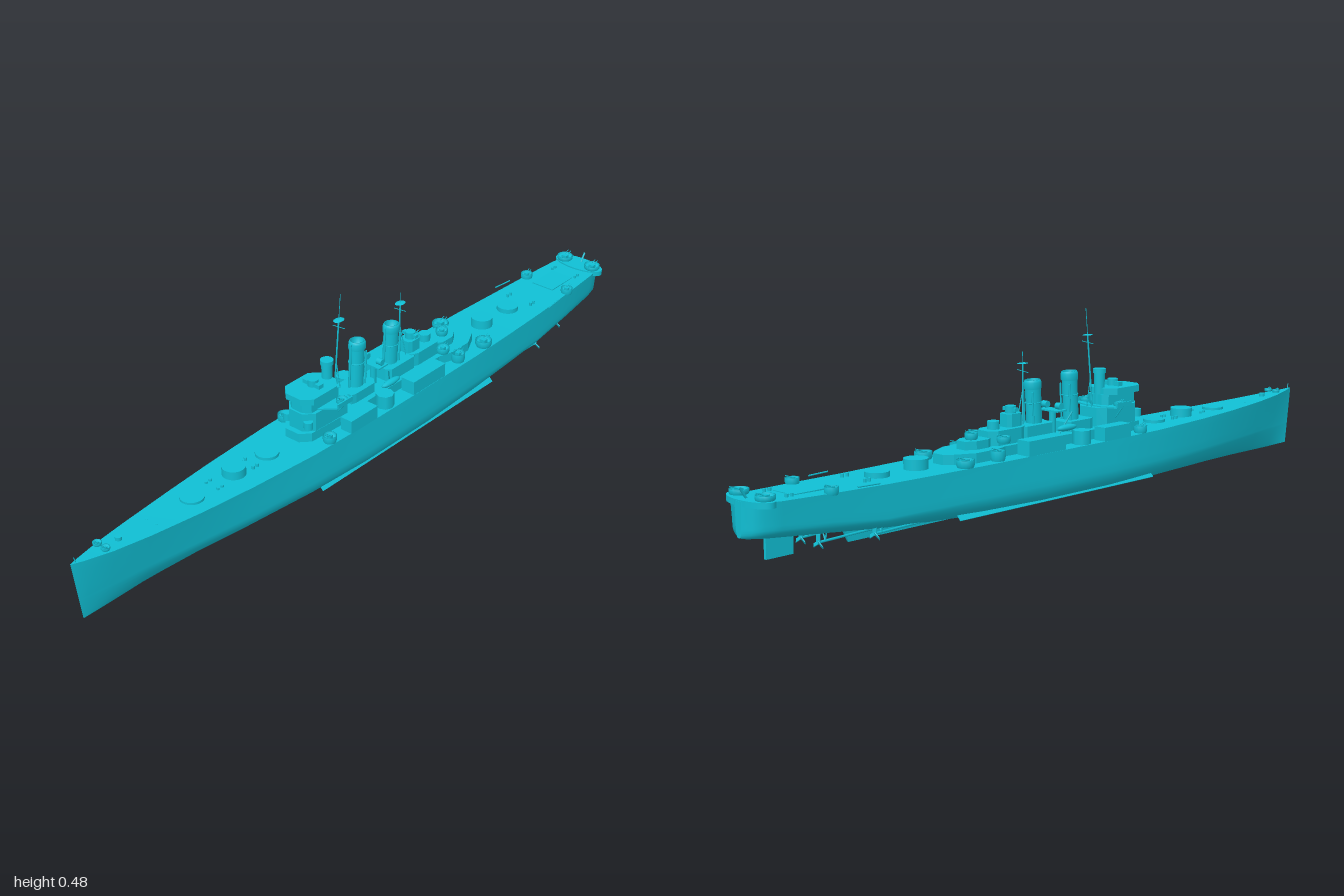
import * as THREE from 'three';

export function createModel() {
  const ship = new THREE.Group();
  ship.name = 'warship';
  const mat = new THREE.MeshStandardMaterial({ color: 0x10bfd4, side: THREE.DoubleSide });
  const add = (name, geo, x = 0, y = 0, z = 0, parent = ship) => {
    const m = new THREE.Mesh(geo, mat);
    m.name = name;
    m.position.set(x, y, z);
    parent.add(m);
    return m;
  };
  const box = (name, w, h, d, x, y, z) => add(name, new THREE.BoxGeometry(w, h, d), x, y + h / 2, z);
  const drum = (name, r, h, x, y, z, seg = 20, r2 = r) => add(name, new THREE.CylinderGeometry(r2, r, h, seg), x, y + h / 2, z);
  const rod = (name, a, b, r) => {
    const path = new THREE.LineCurve3(new THREE.Vector3(...a), new THREE.Vector3(...b));
    return add(name, new THREE.TubeGeometry(path, 1, r, 6));
  };
  const both = (fn) => [1, -1].forEach(fn);
  // Symmetric deck level: port outline [x, z] mirrored, raised from y0 to y1
  const level = (name, half, y0, y1) => {
    const pts = [...half, ...half.slice().reverse().map(([x, z]) => [-x, z])];
    const shape = new THREE.Shape(pts.map(([x, z]) => new THREE.Vector2(x, -z)));
    const geo = new THREE.ExtrudeGeometry(shape, { depth: y1 - y0, bevelEnabled: false });
    return add(name, geo.rotateX(-Math.PI / 2), 0, y0, 0);
  };

  // Hull stations: z, deck half-width, deck height, widest half-width, keel height, section sharpness
  const stations = [
    [1, 0.001, 0.165, 0.0005, 0.002, 2], [0.97, 0.01, 0.162, 0.004, 0.001, 1.9],
    [0.9, 0.027, 0.157, 0.013, 0, 1.7], [0.8, 0.043, 0.152, 0.028, 0, 1.5],
    [0.65, 0.062, 0.147, 0.052, 0, 1.25], [0.5, 0.077, 0.144, 0.073, 0, 1.05],
    [0.3, 0.091, 0.141, 0.093, 0, 0.9], [0.1, 0.096, 0.14, 0.102, 0, 0.82],
    [-0.15, 0.097, 0.14, 0.102, 0, 0.82], [-0.35, 0.096, 0.14, 0.098, 0.004, 0.9],
    [-0.5, 0.092, 0.14, 0.093, 0.013, 0.95], [-0.65, 0.086, 0.14, 0.086, 0.025, 0.95],
    [-0.8, 0.078, 0.142, 0.076, 0.041, 0.85], [-0.93, 0.068, 0.144, 0.064, 0.054, 0.75],
    [-0.97, 0.06, 0.145, 0.055, 0.058, 0.7], [-0.99, 0.042, 0.145, 0.037, 0.06, 0.7],
    [-1, 0.012, 0.145, 0.01, 0.062, 0.7],
  ];
  const section = ([z, wd, yd, wm, yk, e]) => {
    const ym = Math.max(0.06, yk + 0.035), half = [];
    for (let k = 0; k <= 4; k++) {
      const t = k / 4;
      half.push([wd + (wm - wd) * t, yd + (ym - yd) * t]);
    }
    for (let k = 7; k >= 0; k--) {
      const a = (k / 8) * Math.PI / 2;
      half.push([wm * Math.sin(a) ** e, yk + (ym - yk) * (1 - Math.cos(a) ** e)]);
    }
    const rake = (y) => z - Math.max(0, (z - 0.85) / 0.15) * 0.02 * (1 - y / 0.165);
    const port = half.map(([x, y]) => [x, y, rake(y)]);
    return [...port, ...port.slice(0, -1).reverse().map(([x, y, zz]) => [-x, y, zz])];
  };
  const rings = stations.map(section), n = rings[0].length;
  const mesh = (name, verts, faces) => {
    const g = new THREE.BufferGeometry();
    g.setAttribute('position', new THREE.Float32BufferAttribute(verts.flat(), 3));
    g.setIndex(faces);
    g.computeVertexNormals();
    return add(name, g);
  };
  const sides = [], planks = [];
  for (let i = 0; i < rings.length - 1; i++) {
    for (let j = 0; j < n - 1; j++) {
      const a = i * n + j, b = a + n;
      sides.push(a, a + 1, b, a + 1, b + 1, b);
    }
    const l = 2 * i;
    planks.push(l, l + 2, l + 1, l + 1, l + 2, l + 3);
  }
  mesh('hull', rings.flat(), sides);
  mesh('mainDeck', rings.flatMap((r) => [r[0], r[n - 1]]), planks);
  const last = rings[rings.length - 1];
  mesh('sternPlate', last, last.slice(2).flatMap((_, k) => [0, k + 1, k + 2]));
  const fantail = drum('fantail', 0.079, 0.014, 0, 0.134, -0.965, 32);
  fantail.scale.z = 0.44;

  // Underwater fittings
  const skeg = new THREE.Shape([[-0.2, 0.012], [-0.25, 0], [-0.7, 0], [-0.72, 0.04], [-0.5, 0.03]].map((p) => new THREE.Vector2(-p[0], p[1])));
  add('skeg', new THREE.ExtrudeGeometry(skeg, { depth: 0.006, bevelEnabled: false }).rotateY(Math.PI / 2), -0.003, 0, 0);
  box('rudder', 0.008, 0.056, 0.075, 0, 0.002, -0.895);
  both((s) => {
    const keel = box('bilgeKeel', 0.016, 0.002, 0.7, s * 0.083, 0.021, -0.08);
    keel.rotation.z = -s * 0.8;
    [[0.06, -0.42, -0.67], [0.032, -0.55, -0.81]].forEach(([x, z0, z1]) => {
      rod('propellerShaft', [s * x, 0.03, z0], [s * x, 0.024, z1], 0.003);
      rod('shaftStrut', [s * x, 0.024, z1 + 0.02], [s * (x - 0.016), 0.06, z1 + 0.02], 0.002);
      rod('shaftStrut', [s * x, 0.024, z1 + 0.02], [s * (x + 0.008), 0.06, z1 + 0.02], 0.002);
      for (let k = 0; k < 3; k++) {
        const blade = add('propellerBlade', new THREE.BoxGeometry(0.01, 0.018, 0.002).translate(0, 0.01, 0), s * x, 0.024, z1);
        blade.rotation.set(0, 0.5, k * Math.PI * 2 / 3, 'ZYX');
      }
    });
  });

  // Barbettes on the centreline
  [[0.63, 0.146, 0.007], [0.49, 0.143, 0.024], [0.375, 0.14, 0.01], [-0.49, 0.138, 0.028], [-0.61, 0.139, 0.014]]
    .forEach(([z, y, h]) => drum('barbette', 0.03, h, 0, y, z, 32));

  // Open gun tubs with twin barrels
  const tub = (x, y, z, r, h = 0.016) => {
    const g = new THREE.Group();
    g.name = 'gunTub';
    g.position.set(x, y, z);
    ship.add(g);
    const wall = [[r * 0.85, 0], [r, h * 0.4], [r, h], [r * 0.9, h], [r * 0.9, h * 0.4], [0, h * 0.4]];
    add('tubWall', new THREE.LatheGeometry(wall.map((p) => new THREE.Vector2(...p)), 14), 0, 0, 0, g);
    add('gunMount', new THREE.BoxGeometry(r * 0.7, h * 0.7, r * 0.6), 0, h * 0.7, 0, g);
    both((s) => {
      const gun = add('gunBarrel', new THREE.CylinderGeometry(0.0012, 0.0012, r * 1.1, 5), s * r * 0.2, h * 1.15, r * 0.45 * (z < -0.2 ? -1 : 1), g);
      gun.rotation.x = (z < -0.2 ? -1 : 1) * 1.2;
    });
  };
  both((s) => {
    tub(s * 0.048, 0.146, -0.962, 0.023, 0.014);
    tub(s * 0.071, 0.138, -0.8, 0.017, 0.018);
    tub(s * 0.075, 0.139, -0.4, 0.023, 0.02);
    tub(s * 0.073, 0.139, -0.29, 0.019, 0.026);
    tub(s * 0.077, 0.139, 0.23, 0.018, 0.02);
    tub(s * 0.052, 0.176, -0.25, 0.018);
    tub(s * 0.06, 0.214, 0.165, 0.015, 0.014);
    tub(s * 0.014, 0.162, 0.91, 0.011, 0.008);
    // Midship gallery, boats and bollards
    box('sideGallery', 0.042, 0.038, 0.13, s * 0.075, 0.14, -0.14);
    box('sideGallery', 0.036, 0.036, 0.1, s * 0.078, 0.14, 0.12);
    drum('sideMount', 0.024, 0.036, s * 0.07, 0.14, 0.01, 8);
    const boat = add('boat', new THREE.SphereGeometry(0.012, 12, 8), s * 0.056, 0.185, -0.03);
    boat.scale.set(0.8, 0.7, 3);
    [0.76, 0.55, 0.43, -0.68, -0.9].forEach((z) => {
      const x = s * (z > 0.7 ? 0.016 : z > 0 ? 0.02 : 0.04);
      drum('bollard', 0.004, 0.009, x, 0.142, z, 8);
      drum('bollard', 0.004, 0.009, x, 0.142, z + 0.014, 8);
    });
    rod('catapult', [s * 0.094, 0.148, -0.68], [s * 0.088, 0.148, -0.74], 0.002);
  });
  box('sternHatch', 0.07, 0.003, 0.1, 0, 0.142, -0.83);
  rod('sternCrane', [0, 0.144, -0.975], [0, 0.172, -0.993], 0.003);
  drum('capstan', 0.008, 0.014, 0, 0.15, 0.86, 12);
  rod('jackstaff', [0, 0.162, 0.985], [0, 0.178, 0.99], 0.0012);

  // Superstructure levels
  level('deckhouse', [[0.022, 0.285], [0.045, 0.26], [0.05, 0.13], [0.048, -0.24], [0.06, -0.28], [0.06, -0.35], [0.035, -0.4], [0.018, -0.42]], 0.138, 0.165);
  level('lowerBridge', [[0.022, 0.27], [0.045, 0.245], [0.048, 0.13], [0.03, 0.11]], 0.165, 0.215);
  level('bridgeWing', [[0.025, 0.24], [0.072, 0.195], [0.074, 0.14], [0.03, 0.125]], 0.214, 0.218);
  level('upperBridge', [[0.018, 0.265], [0.036, 0.25], [0.036, 0.15], [0.02, 0.14]], 0.215, 0.245);
  level('bridgeTop', [[0.024, 0.278], [0.049, 0.255], [0.049, 0.17], [0.022, 0.145]], 0.245, 0.262);
  both((s) => {
    drum('director', 0.012, 0.02, s * 0.035, 0.176, 0.262, 12);
    box('wingShield', 0.004, 0.012, 0.055, s * 0.073, 0.217, 0.168);
    rod('wingBrace', [s * 0.07, 0.214, 0.165], [s * 0.046, 0.185, 0.165], 0.0015);
  });
  drum('directorPost', 0.014, 0.035, 0, 0.245, 0.205, 12);
  box('rangefinder', 0.055, 0.011, 0.016, 0, 0.262, 0.205);
  drum('bridgeTower', 0.014, 0.14, 0, 0.165, 0.153, 16);
  drum('towerCap', 0.017, 0.012, 0, 0.3, 0.153, 16);

  level('funnelHouse', [[0.03, 0.095], [0.034, 0.08], [0.034, 0.01], [0.02, -0.005]], 0.165, 0.192);
  level('funnelHouse', [[0.02, -0.05], [0.034, -0.06], [0.034, -0.15], [0.024, -0.165]], 0.165, 0.2);
  level('aftHouse', [[0.026, -0.15], [0.034, -0.17], [0.034, -0.25], [0.018, -0.27]], 0.165, 0.202);
  level('aftControl', [[0.014, -0.15], [0.02, -0.16], [0.02, -0.19], [0.012, -0.2]], 0.202, 0.235);
  level('aftPlatform', [[0.018, -0.26], [0.03, -0.28], [0.03, -0.32], [0.015, -0.345]], 0.165, 0.186);
  drum('aftDirector', 0.014, 0.018, 0, 0.235, -0.175, 14);
  box('aftRangefinder', 0.045, 0.009, 0.012, 0, 0.24, -0.175);
  drum('aftGunBase', 0.016, 0.02, 0, 0.202, -0.235, 12);
  tub(0, 0.186, -0.31, 0.017);

  // Raked funnels with caps, bands and steam pipes
  [[0.045, 0.318], [-0.09, 0.31]].forEach(([z, top]) => {
    const f = new THREE.Group(), h = top - 0.165;
    f.name = 'funnel';
    f.position.set(0, 0.165, z);
    f.rotation.x = -0.05;
    ship.add(f);
    const profile = [[0.019, 0], [0.019, h - 0.024], [0.0215, h - 0.022], [0.0215, h - 0.006], [0.019, h], [0.016, h], [0.015, h - 0.025], [0, h - 0.025]];
    const stack = add('funnelCasing', new THREE.LatheGeometry(profile.map((p) => new THREE.Vector2(...p)), 24), 0, 0, 0, f);
    stack.scale.z = 1.1;
    add('funnelBand', new THREE.TorusGeometry(0.0195, 0.0015, 6, 24).rotateX(Math.PI / 2).scale(1, 1, 1.1), 0, h * 0.6, 0, f);
    add('steamPipe', new THREE.CylinderGeometry(0.003, 0.003, h - 0.01, 8), 0, h / 2, 0.025, f);
    both((s) => add('steamPipe', new THREE.CylinderGeometry(0.0025, 0.0025, h * 0.8, 8), s * 0.016, h * 0.4, -0.018, f));
  });

  // Searchlight platform between the funnels
  drum('searchlightTower', 0.009, 0.06, 0, 0.165, -0.025, 10);
  box('searchlightPlatform', 0.07, 0.004, 0.036, 0, 0.222, -0.025);
  both((s) => {
    const lamp = drum('searchlight', 0.009, 0.016, s * 0.024, 0.228, -0.025, 12);
    lamp.rotation.z = Math.PI / 2;
    rod('boatCrane', [s * 0.04, 0.165, -0.045], [s * 0.06, 0.225, -0.015], 0.002);
  });

  // Masts with yards and radar dishes
  [[0.13, 0.1, 0.475, 0.405], [-0.13, -0.132, 0.385, 0.355]].forEach(([z0, z1, top, radar]) => {
    const at = (y) => z0 + (z1 - z0) * (y - 0.165) / (top - 0.165);
    rod('lowerMast', [0, 0.165, z0], [0, radar, at(radar)], 0.0022);
    rod('topmast', [0, radar, at(radar)], [0, top, z1], 0.0009);
    rod('yard', [-0.02, radar - 0.022, at(radar)], [0.02, radar - 0.018, at(radar)], 0.001);
    const dish = add('radarDish', new THREE.SphereGeometry(0.02, 14, 4, 0, Math.PI * 2, 0, 0.7), 0, radar - 0.008, at(radar));
    dish.scale.set(0.9, 0.5, 1.3);
    both((s) => rod('mastLeg', [s * 0.014, 0.165, z0 - 0.02], [0, 0.29, at(0.29)], 0.0015));
  });
  return ship;
}
